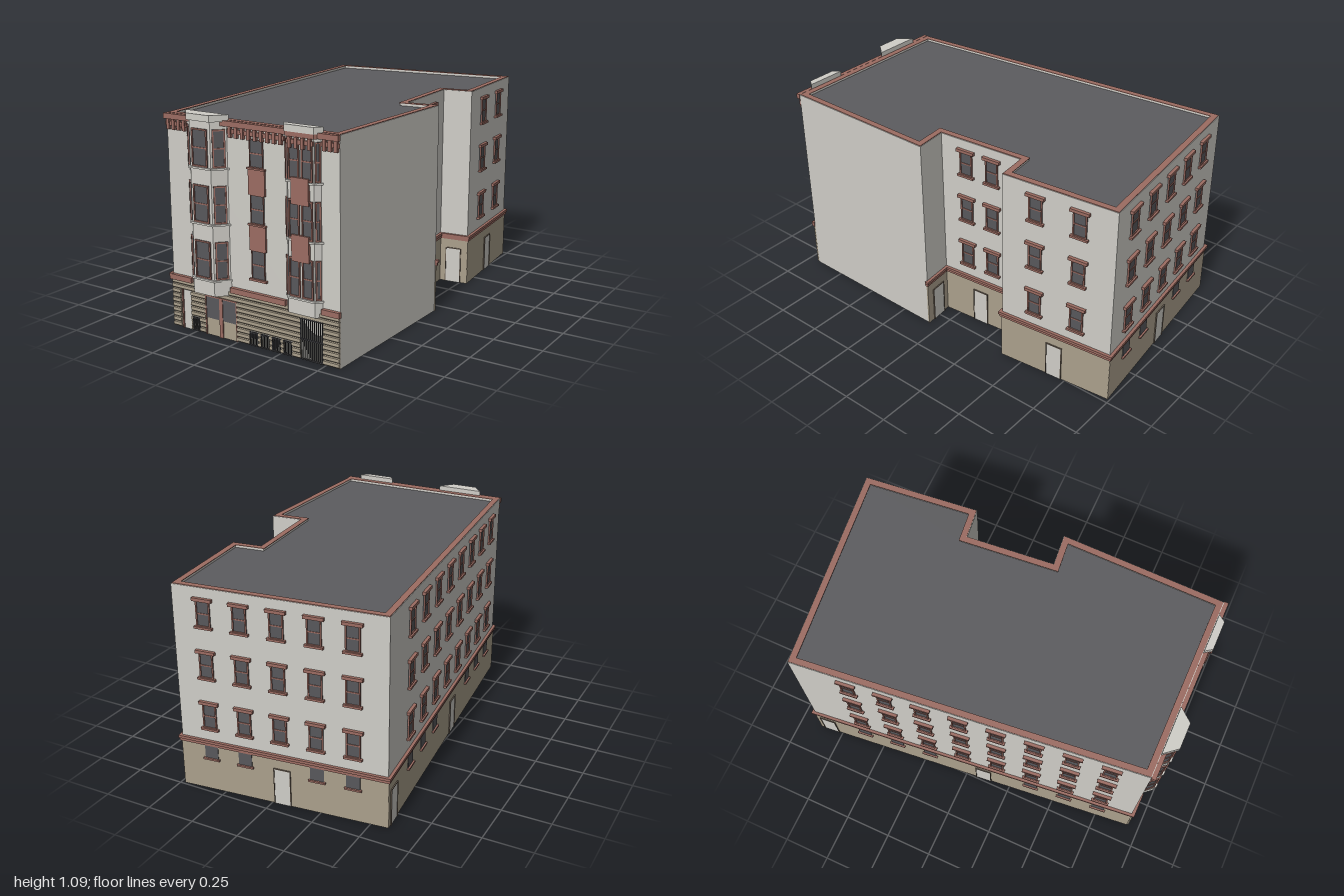
import * as THREE from 'three';

const mat = (name, color) => Object.assign(new THREE.MeshStandardMaterial({ color }), { name });
const wall = mat('pale wall', 0xd0cec8);
const tan = mat('tan base', 0xaba08c);
const red = mat('red trim', 0x9c6c62);
const dark = mat('roof grey', 0x5c5c5f);
const glass = mat('window glass', 0x58585b);
const iron = mat('dark iron', 0x37373a);
const brown = mat('door frame', 0x6b5f53);

function add(parent, name, geometry, material) {
  const m = new THREE.Mesh(geometry, material);
  m.name = name;
  parent.add(m);
  return m;
}

// box given by its limits
function box(parent, name, material, x0, x1, y0, y1, z0, z1) {
  const g = new THREE.BoxGeometry(x1 - x0, y1 - y0, z1 - z0);
  g.translate((x0 + x1) / 2, (y0 + y1) / 2, (z0 + z1) / 2);
  return add(parent, name, g, material);
}

// moves an [x, z] outline outward by d
function offset(pts, d) {
  const n = pts.length;
  const normal = (p, q) => {
    const l = Math.hypot(q[0] - p[0], q[1] - p[1]);
    return [-(q[1] - p[1]) / l, (q[0] - p[0]) / l];
  };
  return pts.map((p, i) => {
    const a = normal(pts[(i + n - 1) % n], p), b = normal(p, pts[(i + 1) % n]);
    const k = d / (1 + a[0] * b[0] + a[1] * b[1]);
    return [p[0] + (a[0] + b[0]) * k, p[1] + (a[1] + b[1]) * k];
  });
}

// upright prism over an [x, z] outline, with an optional hole
function prism(parent, name, material, pts, y0, y1, hole) {
  const v = (l) => l.map(([x, z]) => new THREE.Vector2(x, -z));
  const s = new THREE.Shape(v(pts));
  if (hole) s.holes.push(new THREE.Path(v(hole)));
  const g = new THREE.ExtrudeGeometry(s, { depth: y1 - y0, bevelEnabled: false });
  g.rotateX(-Math.PI / 2).translate(0, y0, 0);
  return add(parent, name, g, material);
}

// group whose x runs along the wall from p to q and whose z points outward
function wallFrame(parent, name, p, q) {
  const g = new THREE.Group();
  g.name = name;
  g.position.set(p[0], 0, p[1]);
  g.rotation.y = Math.atan2(-(q[1] - p[1]), q[0] - p[0]);
  g.userData.length = Math.hypot(q[0] - p[0], q[1] - p[1]);
  parent.add(g);
  return g;
}

// sash window centred on x
function sash(parent, x, y0, y1, w, f = 0.007, hood = false) {
  const g = new THREE.Group();
  g.name = 'window';
  parent.add(g);
  const a = x - w / 2, b = x + w / 2, m = (y0 + y1) / 2;
  box(g, 'glass', glass, a, b, y0, y1, -0.003, 0.003);
  for (const [s, e] of [[a, a + f], [b - f, b]]) box(g, 'frameSide', red, s, e, y0, y1, -0.003, 0.008);
  box(g, 'frameTop', red, a, b, y1 - f, y1, -0.003, 0.008);
  box(g, 'frameBottom', red, a, b, y0, y0 + f, -0.003, 0.008);
  if (y1 - y0 > 0.1) box(g, 'middleRail', red, a, b, m - 0.003, m + 0.003, -0.003, 0.006);
  if (hood) {
    box(g, 'lintel', red, a - 0.014, b + 0.014, y1 - 0.004, y1 + 0.012, -0.003, 0.016);
    box(g, 'sill', red, a - 0.01, b + 0.01, y0 - 0.008, y0 + 0.003, -0.003, 0.016);
  }
}

function door(parent, x, w = 0.08, h = 0.19) {
  const a = x - w / 2, b = x + w / 2;
  box(parent, 'door', wall, a, b, 0, h, 0, 0.007);
  for (const s of [a - 0.004, b]) box(parent, 'doorJamb', brown, s, s + 0.004, 0, h + 0.004, 0, 0.01);
  box(parent, 'doorHead', brown, a, b, h, h + 0.004, 0, 0.01);
}

// upright iron bars with rails
function grille(parent, x0, x1, y1, count, rails) {
  const g = new THREE.Group();
  g.name = 'grille';
  parent.add(g);
  for (let i = 0; i < count; i++) {
    const x = x0 + 0.003 + (x1 - x0 - 0.006) * i / (count - 1);
    box(g, 'bar', iron, x - 0.002, x + 0.002, 0.004, y1, 0.008, 0.012);
  }
  for (const y of rails) box(g, 'rail', iron, x0, x1, y - 0.003, y + 0.003, 0.007, 0.013);
}

// three-sided bay with its windows
function bay(parent, c, back, front, depth, pair) {
  const g = new THREE.Group();
  g.name = 'bay';
  parent.add(g);
  const Z = 0.93;
  const plan = (d) => [[c - back - d, Z], [c - front - d * 0.6, Z + depth + d], [c + front + d * 0.6, Z + depth + d], [c + back + d, Z]];
  const p = plan(0);
  prism(g, 'bayBody', wall, p, 0.225, 1.06);
  prism(g, 'bayApron', wall, plan(0.004), 0.225, 0.295);
  for (const y of [0.295, 0.567, 0.832]) prism(g, 'bayLedge', wall, plan(0.01), y, y + 0.009);
  prism(g, 'bayCap', wall, plan(0.013), 1.056, 1.087);
  for (let i = 0; i < 3; i++) {
    const f = wallFrame(g, i === 1 ? 'bayFront' : 'bayCheek', p[i], p[i + 1]);
    const L = f.userData.length;
    for (const [y0, y1] of [[0.307, 0.49], [0.578, 0.757], [0.843, 1.02]]) {
      if (i !== 1) sash(f, L / 2, y0, y1, L * 0.78);
      else if (pair) for (const s of [-0.035, 0.035]) sash(f, L / 2 + s, y0, y1, 0.058);
      else sash(f, L / 2, y0, y1, 0.09);
    }
    if (i === 1 && pair) {
      for (const y of [0.475, 0.735]) box(f, 'bayPanel', red, L / 2 - 0.047, L / 2 + 0.047, y, y + 0.122, 0, 0.012);
      frieze(f, 0, L);
    }
  }
  if (pair) prism(g, 'bayCornice', red, plan(0.01), 1.035, 1.056);
}

// red band with small brackets
function frieze(parent, x0, x1) {
  box(parent, 'friezeBand', red, x0, x1, 1.003, 1.024, 0, 0.01);
  const n = Math.max(2, Math.round((x1 - x0) / 0.034));
  for (let i = 0; i < n; i++) {
    const x = x0 + (x1 - x0) * (i + 0.5) / n;
    box(parent, 'bracket', red, x - 0.008, x + 0.008, 0.985, 1.035, 0, 0.015);
  }
}

// lapped boards, each with a sloping lower edge
function siding(parent, x0, x1, from, to) {
  for (let i = from; i < to; i++) {
    const y = i * 0.0245;
    const s = new THREE.Shape([[0, y], [-0.012, y + 0.009], [-0.012, y + 0.0245], [0, y + 0.0245]].map((a) => new THREE.Vector2(...a)));
    const g = new THREE.ExtrudeGeometry(s, { depth: x1 - x0, bevelEnabled: false });
    add(parent, 'sidingBoard', g.rotateY(Math.PI / 2).translate(x0, 0, 0), tan);
  }
}

export function createModel() {
  const model = new THREE.Group();
  model.name = 'cornerBuilding';
  const plan = [[-0.395, 0.93], [0.575, 0.93], [0.585, 0.07], [0.42, 0.085], [0.38, -0.37], [0.535, -0.387], [0.475, -0.985], [-0.585, -0.875]];

  // shell, roof and coping
  prism(model, 'walls', wall, plan, 0, 1.06, offset(plan, -0.03));
  prism(model, 'roof', dark, offset(plan, -0.028), 1.035, 1.048);
  prism(model, 'coping', red, offset(plan, -0.003), 1.06, 1.063, offset(plan, -0.034));

  // side and back walls: [window places, door places, low window places]
  const along = (n, a, b) => Array.from({ length: n }, (_, i) => a + (b - a) * i / (n - 1));
  const layout = {
    2: [[], [0.5], []],
    3: [[0.32, 0.65], [0.485], []],
    4: [[], [0.5], []],
    5: [[0.305, 0.69], [0.5], []],
    6: [along(5, 0.15, 0.84), [0.5], [0.15, 0.32, 0.67, 0.84]],
    7: [along(8, 0.16, 0.9), [0.035, 0.54], [0.16, 0.265, 0.37, 0.69, 0.795, 0.9]],
  };
  for (const i of [2, 3, 4, 5, 6, 7]) {
    const f = wallFrame(model, 'sideWall', plan[i], plan[(i + 1) % 8]);
    const L = f.userData.length;
    const [wins, doors, low] = layout[i];
    box(f, 'basePanel', tan, -0.003, L + 0.003, 0, 0.245, -0.004, 0.004);
    box(f, 'beltLower', red, -0.01, L + 0.01, 0.243, 0.258, -0.004, 0.01);
    box(f, 'beltUpper', red, -0.015, L + 0.015, 0.258, 0.272, -0.004, 0.015);
    for (const t of wins) for (const y of [0.338, 0.606, 0.868]) sash(f, t * L, y, y + 0.132, 0.072, 0.007, true);
    for (const t of doors) door(f, t * L);
    for (const t of low) {
      box(f, 'lowGlass', glass, t * L - 0.035, t * L + 0.035, 0.175, 0.243, 0, 0.007);
      box(f, 'lowSill', red, t * L - 0.043, t * L + 0.043, 0.167, 0.176, 0, 0.016);
    }
  }

  // street front
  const front = new THREE.Group();
  front.name = 'front';
  front.position.z = 0.93;
  model.add(front);
  siding(front, -0.395, 0.575, 8, 10);
  for (const [a, b] of [[-0.395, -0.345], [-0.28, -0.19], [0, 0.365], [0.49, 0.575]]) siding(front, a, b, 3, 8);
  const vents = [[-0.272, -0.226], [0.075, 0.125], [0.14, 0.19], [0.205, 0.255], [0.27, 0.318]];
  for (const [a, b] of [[-0.395, -0.345], [-0.28, -0.272], [-0.226, -0.19], [0, 0.075], [0.125, 0.14], [0.19, 0.205], [0.255, 0.27], [0.318, 0.365], [0.49, 0.575]]) siding(front, a, b, 0, 3);
  for (const [a, b] of vents) grille(front, a, b, 0.074, 6, [0.008, 0.07]);
  grille(front, 0.365, 0.49, 0.205, 12, [0.008, 0.105, 0.203]);

  // entry and garage doors
  box(front, 'entryDoor', wall, -0.33, -0.282, 0, 0.2, 0, 0.004);
  box(front, 'entryJamb', red, -0.338, -0.33, 0, 0.2, 0, 0.01);
  for (const x of [-0.19, -0.09]) {
    box(front, 'garageDoor', tan, x, x + 0.09, 0, 0.2, 0, 0.005);
    box(front, 'garageGlass', glass, x + 0.005, x + 0.085, 0.087, 0.195, 0, 0.008);
    for (const s of [x, x + 0.085]) box(front, 'garageStile', red, s, s + 0.005, 0, 0.2, 0, 0.011);
    box(front, 'garageHead', red, x, x + 0.09, 0.195, 0.201, 0, 0.011);
  }
  box(front, 'garageMullion', red, -0.1, -0.09, 0, 0.2, 0, 0.011);

  // belt, cornice and frieze
  for (const [a, b] of [[-0.405, -0.268], [-0.03, 0.288], [0.485, 0.58]]) {
    box(front, 'frontBelt', red, a, b, 0.243, 0.27, 0, 0.018);
  }
  for (const [a, b] of [[-0.395, -0.268], [-0.03, 0.288], [0.485, 0.575]]) frieze(front, a, b);
  box(front, 'cornice', red, -0.398, 0.578, 1.036, 1.062, 0, 0.022);

  // middle window stack with red panels
  for (const [y0, y1] of [[0.335, 0.473], [0.6, 0.735], [0.862, 0.99]]) sash(front, 0.131, y0, y1, 0.075, 0.003);
  for (const y of [0.473, 0.735]) {
    box(front, 'panel', red, 0.085, 0.178, y, y + 0.123, 0, 0.009);
    box(front, 'panelLedge', red, 0.081, 0.182, y + 0.118, y + 0.126, 0, 0.014);
  }
  box(front, 'stackSill', red, 0.081, 0.18, 0.327, 0.337, 0, 0.014);

  // bays
  bay(model, -0.15, 0.113, 0.06, 0.056, false);
  bay(model, 0.387, 0.092, 0.07, 0.024, true);
  return model;
}
